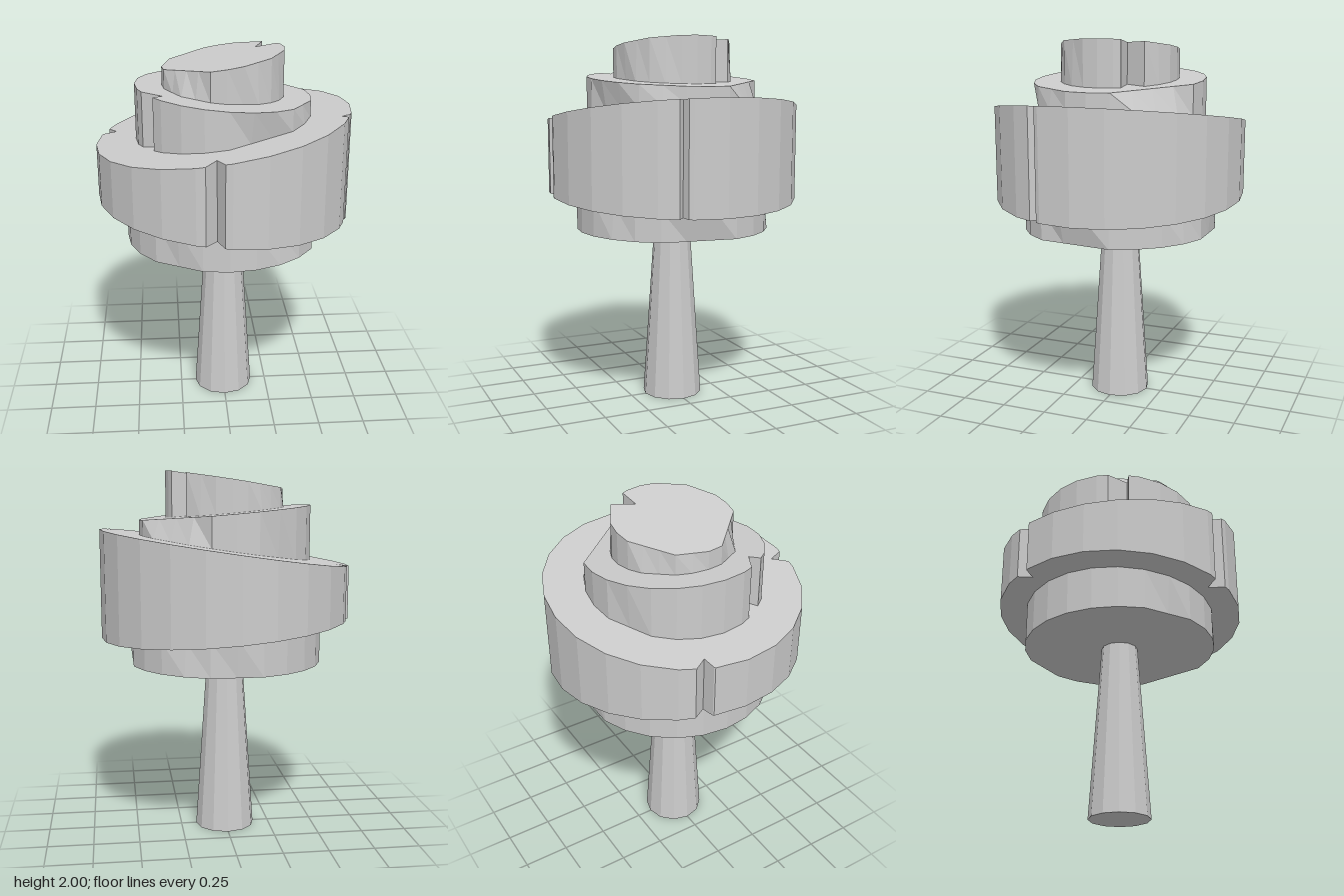
import * as THREE from 'three';

const SIDES = 24;
const material = new THREE.MeshStandardMaterial({ color: 0xcccccc, flatShading: true });

// Round outline of 24 corners (angles in degrees from +x towards +z) with V notches
// notch: [from angle, to angle, tip x, tip z]
function makeOutline(radius, notches) {
  const points = [];
  for (let i = 0; i < SIDES; i++) {
    const a = (i * 360) / SIDES;
    if (notches.some(([from, to]) => a > from && a < to)) continue;
    points.push({ a, r: radius });
  }
  for (const [from, to, x, z] of notches) {
    points.push({ a: from, r: radius * 0.993 }, { a: (from + to) / 2, x, z }, { a: to, r: radius * 0.993 });
  }
  points.sort((p, q) => p.a - q.a);
  return points.map(({ a, r, x, z }) => {
    const t = THREE.MathUtils.degToRad(a);
    return { a, p: x === undefined ? new THREE.Vector2(r * Math.cos(t), r * Math.sin(t)) : new THREE.Vector2(x, z) };
  });
}

// Pull the corners at the given angles onto the chord between their uncut neighbours
function flattenCorners(outline, angles) {
  const n = outline.length;
  const isCut = (i) => angles.includes(outline[(i + n) % n].a);
  return outline.map(({ p }, i) => {
    if (!isCut(i)) return p.clone();
    let lo = i - 1, hi = i + 1;
    while (isCut(lo)) lo--;
    while (isCut(hi)) hi++;
    return outline[(lo + n) % n].p.clone().lerp(outline[hi % n].p, (i - lo) / (hi - lo));
  });
}

// Disc between two sloping planes, each given as [height at centre, slope along x]
function makeDisc(name, { radius, bottom, top, notches = [], topCuts = [], bottomCuts = [] }) {
  const outline = makeOutline(radius, notches);
  const upper = flattenCorners(outline, topCuts);
  const lower = flattenCorners(outline, bottomCuts);
  const shape = new THREE.Shape(outline.map(({ p }) => new THREE.Vector2(p.x, -p.y)));
  const geometry = new THREE.ExtrudeGeometry(shape, { depth: 1, bevelEnabled: false });
  geometry.rotateX(-Math.PI / 2);
  const pos = geometry.attributes.position;
  for (let i = 0; i < pos.count; i++) {
    const here = new THREE.Vector2(pos.getX(i), pos.getZ(i));
    const k = outline.findIndex(({ p }) => p.distanceTo(here) < 1e-4);
    const isTop = pos.getY(i) > 0.5;
    const p = (isTop ? upper : lower)[k];
    const [height, slope] = isTop ? top : bottom;
    pos.setXYZ(i, p.x, height + slope * p.x, p.y);
  }
  geometry.computeVertexNormals();
  const mesh = new THREE.Mesh(geometry, material);
  mesh.name = name;
  return mesh;
}

export function createModel() {
  const group = new THREE.Group();
  group.name = 'stackedDiscsOnStem';

  // Tapered stem
  const stem = new THREE.Mesh(new THREE.CylinderGeometry(0.1, 0.165, 0.97, 12), material);
  stem.name = 'stem';
  stem.position.y = 0.485;
  group.add(stem);

  // Lower collar with a level underside
  group.add(makeDisc('lowerCollar', {
    radius: 0.53, bottom: [0.96, 0], top: [1.16, -0.081],
    bottomCuts: [0, 15, 120, 270],
    topCuts: [60, 300],
  }));

  // Wide wedge-shaped disc with three rim notches
  group.add(makeDisc('wideDisc', {
    radius: 0.68, bottom: [1.153, -0.081], top: [1.59, 0.147],
    notches: [[17.2, 21, 0.6, 0.21], [93, 101, -0.07, 0.59], [195.5, 202.7, -0.58, -0.19]],
  }));

  // Middle disc
  group.add(makeDisc('middleDisc', {
    radius: 0.467, bottom: [1.585, 0.147], top: [1.78, -0.086],
    notches: [[143, 157, -0.32, 0.24]],
    topCuts: [30, 300, 315, 330].filter((a) => a !== 315 && a !== 330).concat([315, 330]),
    bottomCuts: [60, 75, 240, 315],
  }));

  // Small top disc
  group.add(makeDisc('topDisc', {
    radius: 0.322, bottom: [1.775, -0.086], top: [1.953, 0.148],
    notches: [[316, 338, 0.18, -0.11]],
    topCuts: [30, 60, 120, 135, 150, 195, 225, 240, 300],
    bottomCuts: [75, 120, 150, 225],
  }));

  return group;
}
